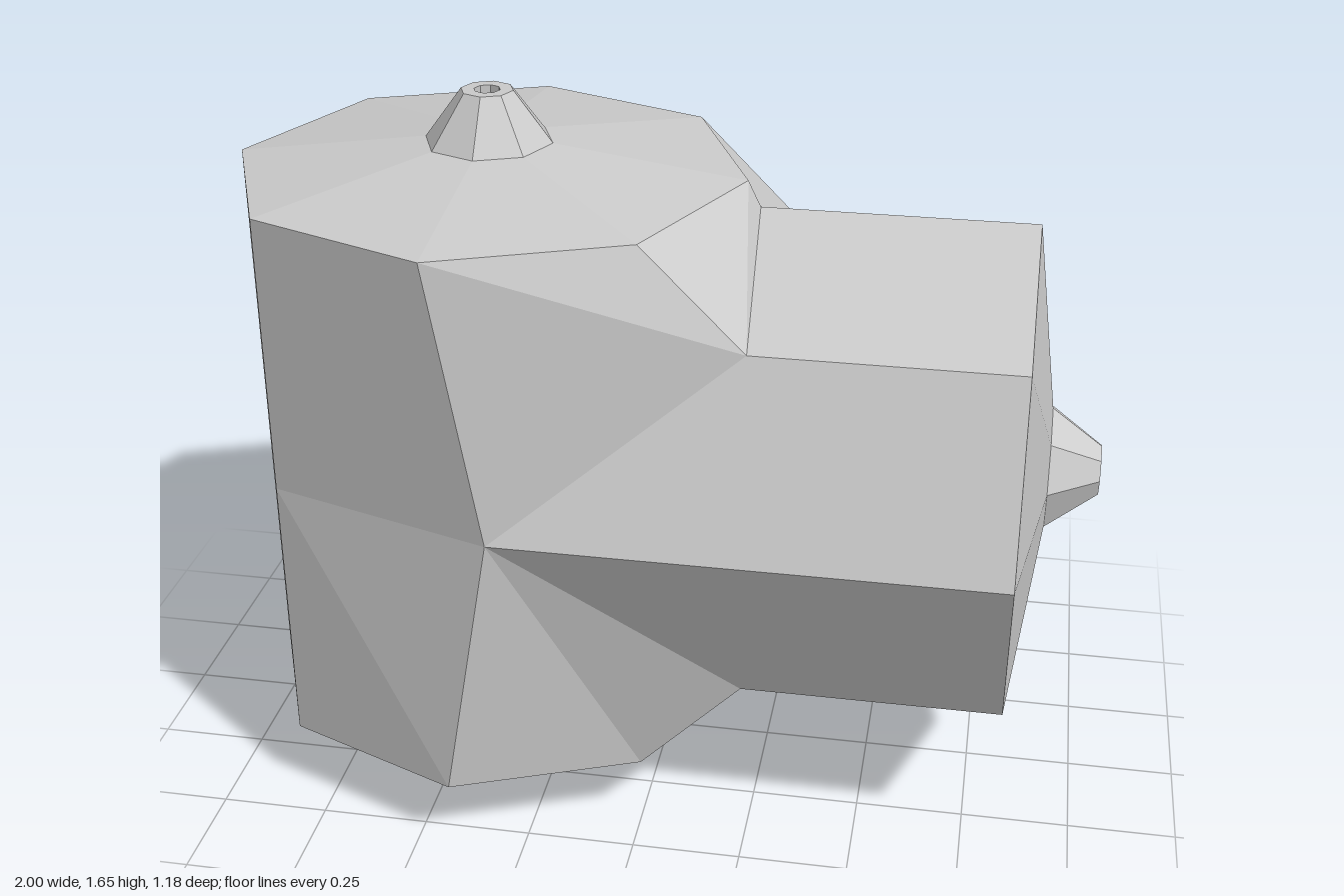
import * as THREE from 'three';

const MID = 0.825;      // height of the branch axis
const TRUNK_X = -0.412; // x of the trunk axis
const R = 0.588;        // octagon radius of trunk and branch
const HALF = 0.648;     // half height of the trunk wall
const END = 0.823;      // x where the branch wall ends

const material = new THREE.MeshStandardMaterial({
  color: 0xcccccc, flatShading: true, side: THREE.DoubleSide,
});

// Octagonal trunk merging into an octagonal branch: one quarter, mirrored in y and z
function bodyGeometry() {
  const ring = (k, y) => [
    TRUNK_X + R * Math.cos(k * Math.PI / 4), y, R * Math.sin(k * Math.PI / 4)];
  const branch = (k, x) => [
    x, R * Math.sin(k * Math.PI / 4), R * Math.cos(k * Math.PI / 4)];

  const A = [0, 1, 2, 3, 4].map(k => ring(k, HALF));               // trunk rim
  const M3 = ring(3, 0), M4 = ring(4, 0);                          // trunk waist
  const P = [-0.3, 0.235, 0.205].map((x, k) => branch(k, x));      // junction seam
  const Q = [0, 1, 2].map(k => branch(k, END));                    // branch rim

  const faces = [
    [M4, M3, A[3], A[4]],
    [M3, P[0], A[2], A[3]].slice(0, 3), [M3, A[2], A[3]],
    [P[1], P[2], A[0], A[1]],
    [P[0], Q[0], Q[1], P[1]],
    [P[1], Q[1], Q[2], P[2]],
  ];
  const upperSaddle = [[P[0], P[1], A[2]], [P[1], A[1], A[2]]];
  const lowerSaddle = [[P[0], A[1], A[2]], [P[0], P[1], A[1]]];

  const pos = [];
  for (const sy of [1, -1]) for (const sz of [1, -1]) {
    for (const face of [...faces, ...(sy > 0 ? upperSaddle : lowerSaddle)]) {
      const f = face.map(([x, y, z]) => [x, MID + sy * y, sz * z]);
      if (sy * sz < 0) f.reverse();
      for (let i = 1; i < f.length - 1; i++) pos.push(...f[0], ...f[i], ...f[i + 1]);
    }
  }
  const g = new THREE.BufferGeometry();
  g.setAttribute('position', new THREE.Float32BufferAttribute(pos, 3));
  g.computeVertexNormals();
  return g;
}

// Shallow cone closing a pipe end, with a tapered open nozzle
function makeCap(name) {
  const lathe = points => new THREE.LatheGeometry(
    points.map(([r, y]) => new THREE.Vector2(r, y)), 8);
  const cap = new THREE.Group();
  cap.name = name;
  const cone = new THREE.Mesh(lathe([[R, 0], [0.147, 0.06]]), material);
  cone.name = 'endCone';
  const nozzle = new THREE.Mesh(
    lathe([[0.147, 0.06], [0.06, 0.177], [0.03, 0.177], [0.03, 0.1]]), material);
  nozzle.name = 'nozzle';
  cap.add(cone, nozzle);
  return cap;
}

export function createModel() {
  const model = new THREE.Group();
  model.name = 'pipeJunction';

  const body = new THREE.Mesh(bodyGeometry(), material);
  body.name = 'junctionBody';

  const top = makeCap('topCap');
  top.position.set(TRUNK_X, MID + HALF, 0);

  const bottom = makeCap('bottomCap');
  bottom.position.set(TRUNK_X, MID - HALF, 0);
  bottom.rotation.x = Math.PI;

  const side = makeCap('sideCap');
  side.position.set(END, MID, 0);
  side.rotation.z = -Math.PI / 2;

  model.add(body, top, bottom, side);
  return model;
}
